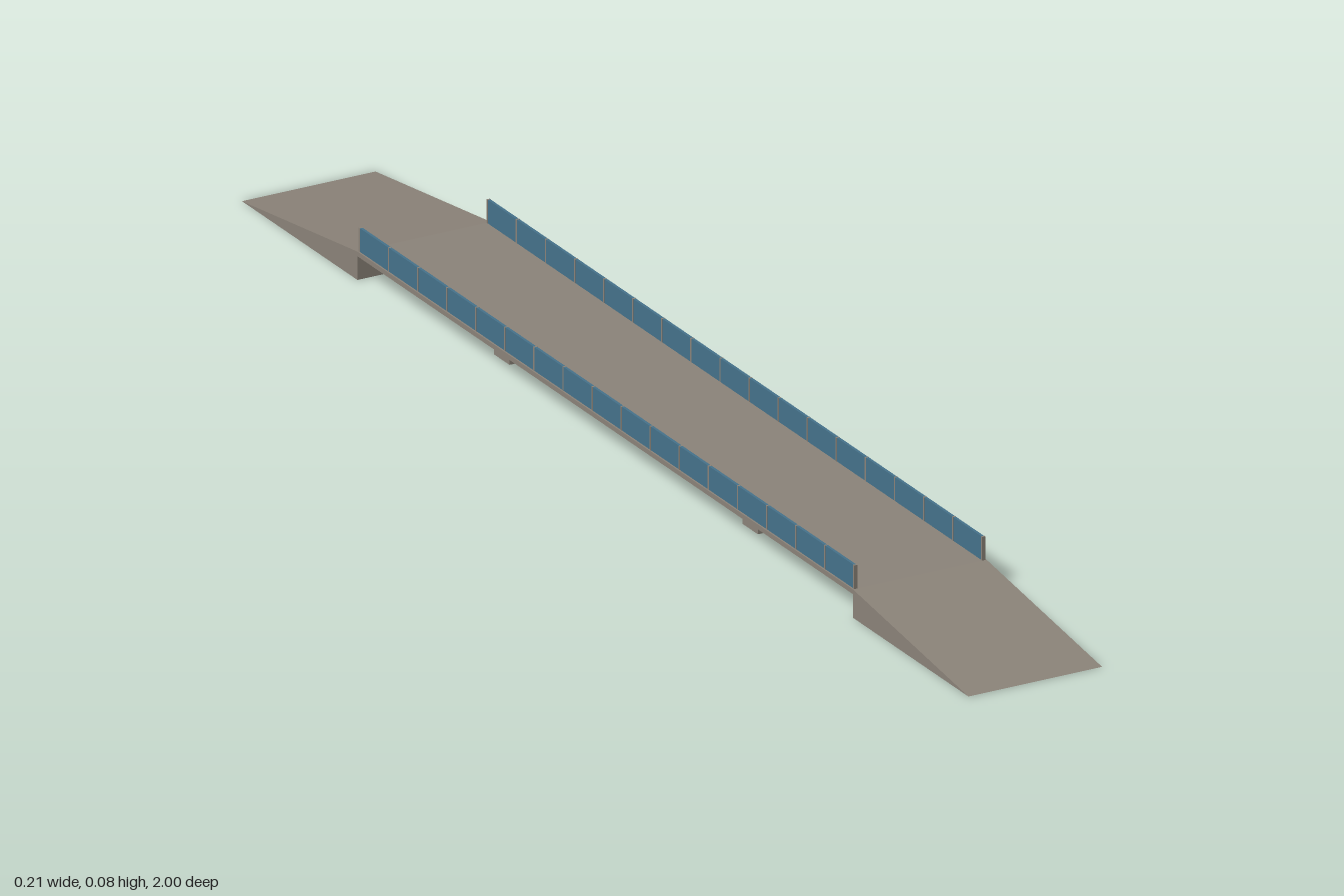
import * as THREE from 'three';

export function createModel() {
  const bridge = new THREE.Group();
  bridge.name = 'footbridge';

  const concrete = new THREE.MeshStandardMaterial({ color: 0x8c847a });
  concrete.name = 'concrete';
  const glass = new THREE.MeshStandardMaterial({ color: 0x46738c });
  glass.name = 'blue panel';

  const W = 0.21, TOP = 0.042, END = 0.682, DECK = 0.007, RAIL_TOP = 0.077;

  function box(name, parent, mat, w, h, d, x, y, z) {
    const mesh = new THREE.Mesh(new THREE.BoxGeometry(w, h, d), mat);
    mesh.name = name;
    mesh.position.set(x, y, z);
    parent.add(mesh);
    return mesh;
  }

  // Deck slab
  box('deck', bridge, concrete, W, DECK, END * 2, 0, TOP - DECK / 2, 0);

  // Wedge ramps, profile drawn along the bridge and extruded across it
  const wedge = new THREE.Shape();
  wedge.moveTo(END, 0);
  wedge.lineTo(1, 0);
  wedge.lineTo(END, TOP);
  wedge.closePath();
  const rampGeo = new THREE.ExtrudeGeometry(wedge, { depth: W, bevelEnabled: false });
  rampGeo.translate(0, 0, -W / 2);
  for (const side of [1, -1]) {
    const ramp = new THREE.Mesh(rampGeo, concrete);
    ramp.name = side > 0 ? 'frontRamp' : 'backRamp';
    ramp.rotation.y = -side * Math.PI / 2;
    bridge.add(ramp);
  }

  // Piers under the deck
  for (const side of [1, -1]) {
    const h = TOP - DECK;
    box(side > 0 ? 'frontPier' : 'backPier', bridge, concrete, 0.145, h, 0.043, 0, h / 2, side * 0.342);
  }

  // Railings: blue panels between slim posts
  const BAYS = 17, POST = 0.003, pitch = (END * 2 - POST) / BAYS;
  const railH = RAIL_TOP - TOP, railY = TOP + railH / 2;
  for (const side of [1, -1]) {
    const rail = new THREE.Group();
    rail.name = side > 0 ? 'leftRailing' : 'rightRailing';
    rail.position.x = side * 0.1005;
    bridge.add(rail);
    for (let i = 0; i <= BAYS; i++) {
      const z = -END + POST / 2 + i * pitch;
      box('post', rail, concrete, 0.005, railH, POST, 0, railY, z);
      if (i < BAYS) box('panel', rail, glass, 0.004, railH, pitch - POST, 0, railY, z + pitch / 2);
    }
  }

  return bridge;
}
